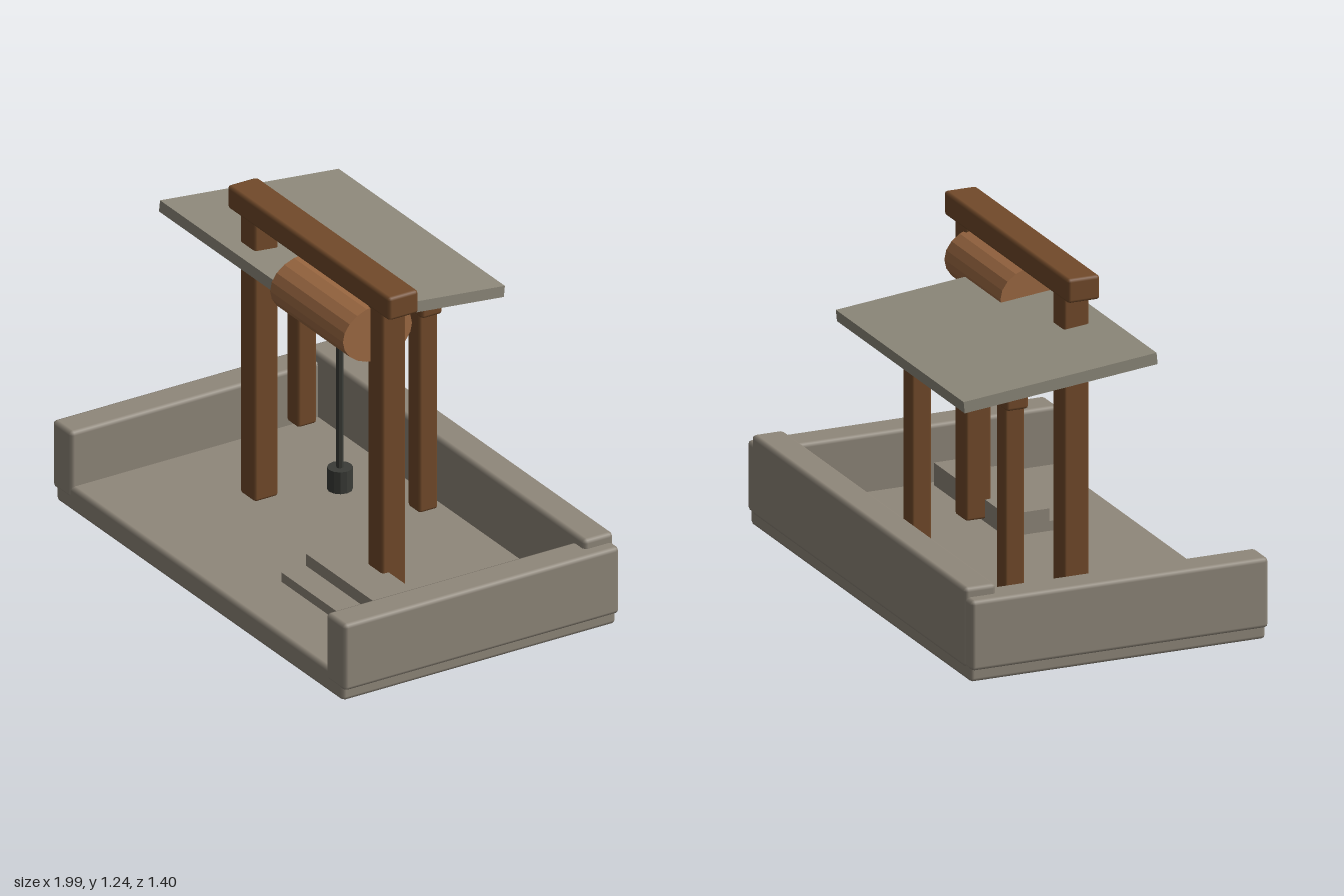
import * as THREE from 'three';
import { RoundedBoxGeometry } from 'three/addons/geometries/RoundedBoxGeometry.js';

const material = (name, color) => {
  const m = new THREE.MeshStandardMaterial({ color });
  m.name = name;
  return m;
};

export function createModel() {
  const stone = material('stone', 0x8f877a);
  const slate = material('slate', 0x8e897b);
  const wood = material('brown wood', 0x724a2a);
  const lightWood = material('light wood', 0x9e6a43);
  const iron = material('dark iron', 0x3a3c37);

  const model = new THREE.Group();
  model.name = 'wellYard';
  const yard = new THREE.Group();
  yard.name = 'yard';
  yard.rotation.y = -Math.PI / 18; // whole yard stands slightly turned
  model.add(yard);

  const add = (name, geometry, mat, x, y, z) => {
    const mesh = new THREE.Mesh(geometry, mat);
    mesh.name = name;
    mesh.position.set(x, y, z);
    yard.add(mesh);
    return mesh;
  };

  // Block given by its ranges on x, y and z, with an optional bevel
  const block = (name, mat, [x0, x1], [y0, y1], [z0, z1], bevel = 0) => {
    const size = [x1 - x0, y1 - y0, z1 - z0];
    const geometry = bevel
      ? new RoundedBoxGeometry(...size, 1, bevel)
      : new THREE.BoxGeometry(...size);
    return add(name, geometry, mat, (x0 + x1) / 2, (y0 + y1) / 2, (z0 + z1) / 2);
  };

  // Flat-shaded prism without shared normals
  const prism = (rTop, rBottom, height, sides) => {
    const g = new THREE.CylinderGeometry(rTop, rBottom, height, sides).toNonIndexed();
    g.computeVertexNormals();
    return g;
  };

  // Floor and low walls, open at the front
  block('floorSlab', stone, [-0.9, 0.9], [0, 0.09], [-0.547, 0.547], 0.015);
  block('backWall', stone, [-0.872, 0.872], [0.045, 0.33], [-0.555, -0.437], 0.015);
  block('rightWall', stone, [-0.918, -0.798], [0.045, 0.296], [-0.55, 0.55], 0.015);
  block('leftWall', stone, [0.798, 0.918], [0.045, 0.296], [-0.55, 0.55], 0.015);

  // Two steps beside the left wall
  block('lowerStep', stone, [0.18, 0.77], [0.08, 0.125], [0.075, 0.332]);
  block('upperStep', stone, [0.18, 0.77], [0.08, 0.17], [0.075, 0.235]);

  // A frame of two posts under one beam
  const frame = (name, x, z, spacing, post, y0, y1, beam) => {
    for (const side of [-1, 1]) {
      const px = x + side * spacing;
      block(name + 'Post', wood, [px - post / 2, px + post / 2], [y0, y1 + 0.01],
        [z - post / 2, z + post / 2], 0.01);
    }
    block(name + 'Beam', wood, [x - beam.length / 2, x + beam.length / 2],
      [y1, y1 + beam.height], [z - beam.width / 2, z + beam.width / 2], 0.012);
  };
  frame('tallFrame', 0, 0.052, 0.4, 0.095, 0.1, 1.15, { length: 1.016, height: 0.087, width: 0.12 });
  frame('roofFrame', -0.317, -0.307, 0.38, 0.075, 0.15, 0.892, { length: 0.88, height: 0.065, width: 0.084 });

  // Sloping roof, higher at the front
  const roof = add('roof', new THREE.BoxGeometry(1.042, 0.041, 0.718), slate, -0.314, 0.998, -0.184);
  roof.rotation.x = -0.103;

  // Flattened winding drum
  const drumShape = prism(1, 1, 0.457, 20).rotateZ(Math.PI / 2).scale(1, 0.104, 0.138);
  drumShape.computeVertexNormals();
  add('windingDrum', drumShape, lightWood, 0.143, 1.041, 0.071);

  // Hanging rod and weight
  add('hangingRod', prism(0.013, 0.013, 0.57, 8), iron, 0.141, 0.7, 0.074);
  add('hangingWeight', prism(0.044, 0.044, 0.082, 12), iron, 0.141, 0.397, 0.074);

  return model;
}
